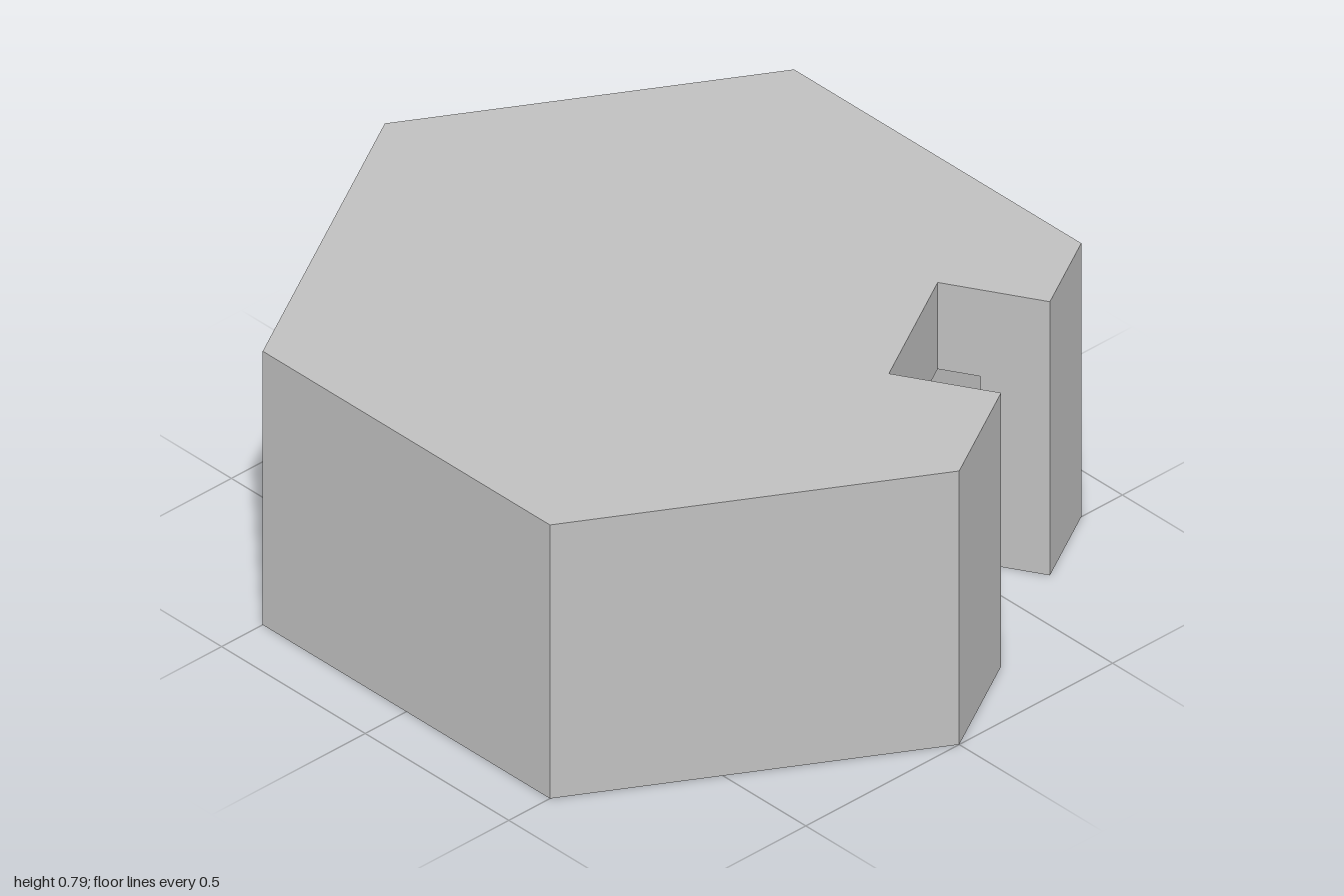
import * as THREE from 'three';

const HEIGHT = 0.79, CEILING = 0.54, RECESS_TOP = 0.62, RECESS_R = 0.33;
const OUTER_R = 1, INNER_R = 0.8, COS30 = Math.sqrt(3) / 2;
const SLOT_BACK = 0.587, SLOT_A = 0.157, SLOT_B = -0.243;

// Plan points use (x, -z), counter-clockwise seen from above.
const slotPoint = (n, t) => new THREE.Vector2(COS30 * n + 0.5 * t, 0.5 * n - COS30 * t);

// Six hexagon corners, starting just after the slotted side.
function hexCorners(r) {
  return [1, 2, 3, 4, 5, 6].map(i =>
    new THREE.Vector2(r * Math.cos(i * Math.PI / 3), r * Math.sin(i * Math.PI / 3)));
}

// Hexagon with the slot notched out of its back-left side.
function notchedHex(r) {
  const n = r * COS30;
  return [slotPoint(n, SLOT_B), ...hexCorners(r), slotPoint(n, SLOT_A),
    slotPoint(SLOT_BACK, SLOT_A), slotPoint(SLOT_BACK, SLOT_B)];
}

// Vertical faces along a closed outline; material lies to the left of the path.
function wallGeometry(points, y0, y1) {
  const pos = [];
  points.forEach((a, i) => {
    const b = points[(i + 1) % points.length];
    pos.push(a.x, y0, -a.y, b.x, y0, -b.y, b.x, y1, -b.y);
    pos.push(a.x, y0, -a.y, b.x, y1, -b.y, a.x, y1, -a.y);
  });
  const g = new THREE.BufferGeometry();
  g.setAttribute('position', new THREE.Float32BufferAttribute(pos, 3));
  g.computeVertexNormals();
  return g;
}

// Horizontal face facing up or down.
function faceGeometry(shape, y, down) {
  const g = new THREE.ShapeGeometry(shape, 24);
  g.rotateX(-Math.PI / 2).translate(0, y, 0);
  if (down) {
    const index = g.index;
    for (let i = 0; i < index.count; i += 3) {
      const b = index.getX(i + 1);
      index.setX(i + 1, index.getX(i + 2));
      index.setX(i + 2, b);
    }
    g.computeVertexNormals();
  }
  return g;
}

export function createModel() {
  const model = new THREE.Group();
  model.name = 'slottedHexCap';
  const grey = new THREE.MeshStandardMaterial({ name: 'lightGrey', color: 0xc0c0c0 });
  const add = (name, geometry) => {
    const mesh = new THREE.Mesh(geometry, grey);
    mesh.name = name;
    model.add(mesh);
  };

  // Skirt: C-shaped wall open at the slot
  const outerN = OUTER_R * COS30, innerN = INNER_R * COS30;
  const skirt = [slotPoint(outerN, SLOT_B), ...hexCorners(OUTER_R), slotPoint(outerN, SLOT_A),
    slotPoint(innerN, SLOT_A), ...hexCorners(INNER_R).reverse(), slotPoint(innerN, SLOT_B)];
  add('skirtWalls', wallGeometry(skirt, 0, CEILING));
  add('bottomRim', faceGeometry(new THREE.Shape(skirt), 0, true));

  // Solid top slab with the slot cut through it
  const slab = notchedHex(OUTER_R);
  add('topSlabSides', wallGeometry(slab, CEILING, HEIGHT));
  add('topFace', faceGeometry(new THREE.Shape(slab), HEIGHT, false));

  // Inner ceiling with a round opening
  const ceiling = new THREE.Shape(notchedHex(INNER_R));
  ceiling.holes.push(new THREE.Path().absarc(0, 0, RECESS_R, 0, Math.PI * 2, true));
  add('ceiling', faceGeometry(ceiling, CEILING, true));

  // Shallow round recess in the ceiling
  add('recessWall', new THREE.LatheGeometry([
    new THREE.Vector2(RECESS_R, RECESS_TOP), new THREE.Vector2(RECESS_R, CEILING)], 48));
  add('recessRoof', new THREE.CircleGeometry(RECESS_R, 48)
    .rotateX(Math.PI / 2).translate(0, RECESS_TOP, 0));

  return model;
}
